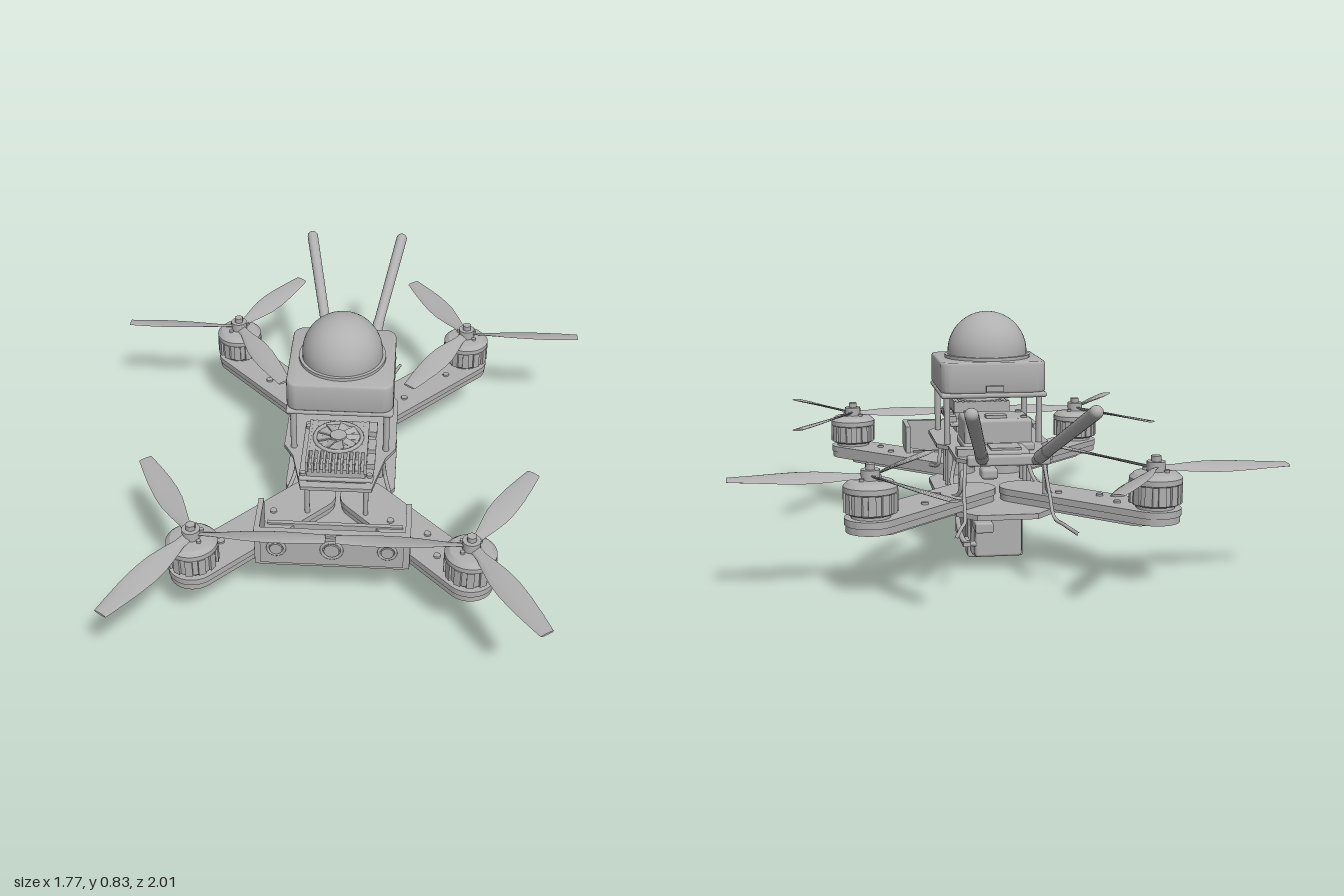
import * as THREE from 'three';
import { toCreasedNormals } from 'three/addons/utils/BufferGeometryUtils.js';
import { RoundedBoxGeometry } from 'three/addons/geometries/RoundedBoxGeometry.js';

const grey = new THREE.MeshStandardMaterial({ color: 0xb0b0b0 });
grey.name = 'plain grey';

function add(parent, name, geo, x = 0, y = 0, z = 0) {
  const m = new THREE.Mesh(geo, grey);
  m.name = name;
  m.position.set(x, y, z);
  parent.add(m);
  return m;
}
// box given by its extents
const box = (p, name, x0, x1, y0, y1, z0, z1) =>
  add(p, name, new THREE.BoxGeometry(x1 - x0, y1 - y0, z1 - z0), (x0 + x1) / 2, (y0 + y1) / 2, (z0 + z1) / 2);
const rounded = (p, name, x0, x1, y0, y1, z0, z1, r = 0.012) =>
  add(p, name, new RoundedBoxGeometry(x1 - x0, y1 - y0, z1 - z0, 3, r), (x0 + x1) / 2, (y0 + y1) / 2, (z0 + z1) / 2);
const rod = (p, name, r, x, y0, y1, z, n = 16) =>
  add(p, name, new THREE.CylinderGeometry(r, r, y1 - y0, n), x, (y0 + y1) / 2, z);
const tube = (p, name, r, pts) =>
  add(p, name, new THREE.TubeGeometry(new THREE.CatmullRomCurve3(pts.map(a => new THREE.Vector3(...a))), 24, r, 8));

// flat shape extruded upwards; shape y becomes -z
function slab(shape, h) {
  const g = new THREE.ExtrudeGeometry(shape, { depth: h, bevelEnabled: false, curveSegments: 16 });
  return toCreasedNormals(g.rotateX(-Math.PI / 2), 0.6);
}
// plate symmetric in x from [x, z] points on the +x side
function plate(p, name, half, y0, y1) {
  const pts = [...half, ...half.map(([x, z]) => [-x, z]).reverse()];
  return add(p, name, slab(new THREE.Shape(pts.map(([x, z]) => new THREE.Vector2(x, -z))), y1 - y0), 0, y0, 0);
}
// rounded-end bar from the origin to x = len
function stadium(len, r, Type = THREE.Shape, x0 = 0) {
  const s = new Type();
  s.absarc(x0, 0, r, Math.PI / 2, Math.PI * 1.5);
  s.absarc(x0 + len, 0, r, -Math.PI / 2, Math.PI / 2);
  s.closePath();
  return s;
}

// twisted propeller blade from elliptical cross-sections
function bladeGeometry(hand) {
  const sections = [[0.015, 0.016], [0.06, 0.018], [0.11, 0.028], [0.17, 0.038], [0.23, 0.041],
    [0.3, 0.038], [0.37, 0.031], [0.434, 0.023]];
  const n = 10, pos = [], idx = [];
  sections.forEach(([s, w], i) => {
    const twist = hand * (0.45 - 0.8 * s);
    for (let k = 0; k < n; k++) {
      const a = (k / n) * Math.PI * 2, y = 0.004 * Math.sin(a), z = w * Math.cos(a);
      pos.push(s, y * Math.cos(twist) - z * Math.sin(twist), y * Math.sin(twist) + z * Math.cos(twist));
      const b = i * n + k, c = i * n + (k + 1) % n;
      if (i < sections.length - 1) idx.push(b, b + n, c, c, b + n, c + n);
      else if (k > 0 && k < n - 1) idx.push(i * n, c, b);
    }
  });
  const g = new THREE.BufferGeometry();
  g.setAttribute('position', new THREE.Float32BufferAttribute(pos, 3));
  g.setIndex(idx);
  return toCreasedNormals(g, 0.9);
}

function motor(hand, firstAngle) {
  const g = new THREE.Group();
  g.name = 'motor';
  rod(g, 'motorBase', 0.062, 0, 0.26, 0.28, 0, 24);
  const bell = [[0, 0.275], [0.074, 0.275], [0.078, 0.28], [0.078, 0.34], [0.085, 0.345], [0.085, 0.362],
    [0.07, 0.376], [0.045, 0.38], [0, 0.38]].map(a => new THREE.Vector2(...a));
  add(g, 'motorBell', toCreasedNormals(new THREE.LatheGeometry(bell, 32), 0.5));
  for (let i = 0; i < 12; i++) {
    const a = i * Math.PI / 6;
    const rib = add(g, 'bellRib', new THREE.BoxGeometry(0.012, 0.062, 0.024), 0.079 * Math.cos(a), 0.312, 0.079 * Math.sin(a));
    rib.rotation.y = -a;
  }
  rod(g, 'propellerHub', 0.03, 0, 0.376, 0.412, 0);
  rod(g, 'propellerNut', 0.017, 0, 0.41, 0.43, 0, 6);
  for (let i = 0; i < 4; i++) {
    const a = Math.PI / 4 + i * Math.PI / 2;
    rod(g, 'hubScrew', 0.008, 0.04 * Math.cos(a), 0.375, 0.388, 0.04 * Math.sin(a), 8);
  }
  const geo = bladeGeometry(hand);
  for (let i = 0; i < 3; i++) add(g, 'propellerBlade', geo, 0, 0.39, 0).rotation.y = firstAngle + i * Math.PI * 2 / 3;
  return g;
}

export function createModel() {
  const root = new THREE.Group();
  root.name = 'quadcopter';

  // arms and motors
  for (const sx of [1, -1]) for (const sz of [1, -1]) {
    const m = motor(sx * sz, (sx * sz > 0) === (sz > 0) ? (sz > 0 ? Math.PI : 0) : (sz > 0 ? 0 : Math.PI));
    if (sz < 0) m.children.filter(c => c.name === 'propellerBlade').forEach((c, i) => {
      c.rotation.y = (sx > 0 ? 0 : Math.PI) + i * Math.PI * 2 / 3;
    });
    m.position.set(sx * 0.45, 0, sz * 0.62);
    root.add(m);
    const arm = new THREE.Group();
    arm.name = 'arm';
    arm.position.set(sx * 0.45, 0, sz * 0.62);
    arm.rotation.y = Math.atan2(sz * 0.72, -sx * 0.69);
    add(arm, 'armTop', slab(stadium(0.52, 0.083), 0.022), 0, 0.241, 0);
    add(arm, 'armBottom', slab(stadium(0.52, 0.079), 0.022), 0, 0.219, 0);
    const strip = stadium(0.4, 0.045, THREE.Shape, 0.06);
    strip.holes.push(stadium(0.34, 0.016, THREE.Path, 0.09));
    add(arm, 'armSlotRail', slab(strip, 0.018), 0, 0.202, 0);
    for (const d of [0.13, 0.23, 0.36]) rod(arm, 'armScrew', 0.012, d, 0.26, 0.27, d === 0.23 ? 0.03 : -0.02, 10);
    root.add(arm);
  }

  // frame plates and spacers
  plate(root, 'bottomPlate', [[0.1, -0.48], [0.16, -0.41], [0.16, -0.19], [0.195, -0.14], [0.195, 0.14],
    [0.16, 0.2], [0.13, 0.42]], 0.202, 0.22);
  plate(root, 'topPlate', [[0.1, -0.48], [0.16, -0.4], [0.16, -0.19], [0.195, -0.14], [0.195, 0.14],
    [0.16, 0.2], [0.12, 0.37]], 0.382, 0.396);
  for (const sx of [1, -1]) {
    for (const z of [-0.38, -0.06, 0.01, 0.08, 0.34]) rod(root, 'spacer', 0.009, sx * (z > 0.3 ? 0.1 : 0.14), 0.215, 0.385, z, 10);
    for (const z of [-0.15, 0.15]) rod(root, 'mastPost', 0.011, sx * 0.16, 0.39, 0.57, z, 12);
    tube(root, 'sideCable', 0.007, [[sx * 0.13, 0.385, 0.1], [sx * 0.15, 0.34, 0.14], [sx * 0.16, 0.27, 0.14], [sx * 0.18, 0.25, 0.22]]);
    tube(root, 'sideCable', 0.007, [[sx * 0.13, 0.385, -0.32], [sx * 0.14, 0.33, -0.4], [sx * 0.15, 0.27, -0.38], [sx * 0.19, 0.25, -0.32]]);
    tube(root, 'motorCable', 0.007, [[sx * 0.12, 0.36, -0.1], [sx * 0.14, 0.28, -0.12], [sx * 0.15, 0.25, -0.2]]);
  }
  rounded(root, 'powerPlug', -0.03, 0.03, 0.25, 0.29, -0.08, -0.01);

  // satellite receiver with dome
  rounded(root, 'receiverBase', -0.183, 0.183, 0.556, 0.575, -0.183, 0.183, 0.009);
  const sq = new THREE.Shape(), h = 0.175, c = 0.035;
  [[h, h], [-h, h], [-h, -h], [h, -h]].forEach(([x, y], i) => sq.absarc(x - Math.sign(x) * c, y - Math.sign(y) * c, c, i * Math.PI / 2, (i + 1) * Math.PI / 2));
  const housing = new THREE.ExtrudeGeometry(sq, { depth: 0.09, bevelSize: 0.007, bevelThickness: 0.008, bevelSegments: 3, curveSegments: 6 });
  add(root, 'receiverHousing', toCreasedNormals(housing.rotateX(-Math.PI / 2), 0.6), 0, 0.581, 0);
  rod(root, 'domeRim', 0.15, 0, 0.675, 0.69, 0, 40);
  rod(root, 'domeSkirt', 0.139, 0, 0.68, 0.7, 0, 40);
  add(root, 'dome', new THREE.SphereGeometry(0.139, 40, 20, 0, Math.PI * 2, 0, Math.PI / 2), 0, 0.7, 0);
  box(root, 'receiverSocket', -0.03, 0.03, 0.58, 0.6, -0.197, -0.17);

  // front computer board with finned cooler and fan
  rounded(root, 'computerBoard', -0.125, 0.125, 0.42, 0.435, 0.05, 0.37, 0.006);
  box(root, 'computerCarrier', -0.1, 0.1, 0.395, 0.42, 0.08, 0.34);
  box(root, 'coolerCore', -0.098, 0.098, 0.433, 0.465, 0.14, 0.36);
  box(root, 'coolerBody', -0.098, 0.098, 0.46, 0.498, 0.13, 0.3);
  for (let i = 0; i < 11; i++) box(root, 'coolerFin', -0.102 + i * 0.0195, -0.093 + i * 0.0195, 0.46, 0.5, 0.13, 0.37);
  add(root, 'fanRing', new THREE.TorusGeometry(0.08, 0.007, 8, 32).rotateX(Math.PI / 2), 0, 0.501, 0.225);
  rod(root, 'fanHub', 0.028, 0, 0.49, 0.512, 0.225, 20);
  for (let i = 0; i < 9; i++) {
    const a = i * Math.PI * 2 / 9;
    const b = add(root, 'fanBlade', new THREE.BoxGeometry(0.045, 0.004, 0.022), 0.05 * Math.cos(a), 0.503, 0.225 - 0.05 * Math.sin(a));
    b.rotation.set(0.4, a, 0, 'YXZ');
  }
  for (const z of [0.09, 0.35]) for (const x of [-0.112, 0.112]) rod(root, 'boardScrew', 0.01, x, 0.43, 0.445, z, 8);
  for (const z of [0.1, 0.2, 0.28]) box(root, 'boardPort', 0.1, 0.128, 0.433, 0.455, z - 0.03, z + 0.03);

  // front sensor tray with three lenses
  box(root, 'trayFloor', -0.24, 0.24, 0.225, 0.24, 0.4, 0.57);
  box(root, 'trayFront', -0.255, 0.255, 0.228, 0.365, 0.545, 0.57);
  box(root, 'trayFace', -0.235, 0.235, 0.24, 0.355, 0.568, 0.578);
  box(root, 'trayBack', -0.23, 0.23, 0.23, 0.27, 0.4, 0.415);
  for (const sx of [1, -1]) box(root, 'traySide', sx * 0.248 - 0.009, sx * 0.248 + 0.009, 0.228, 0.365, 0.4, 0.56);
  for (const x of [-0.182, 0, 0.182]) {
    const r = x ? 0.028 : 0.034;
    add(root, 'lensRing', new THREE.TorusGeometry(r, 0.005, 8, 24), x, 0.305, 0.578);
    add(root, 'lens', new THREE.CylinderGeometry(r * 0.75, r * 0.75, 0.014, 24).rotateX(Math.PI / 2), x, 0.305, 0.577);
  }

  // rear electronics
  rounded(root, 'autopilotCase', -0.115, 0.115, 0.4, 0.5, -0.28, -0.1);
  rounded(root, 'autopilotFoot', -0.12, 0.12, 0.394, 0.42, -0.3, -0.09, 0.008);
  for (const x of [-0.09, 0.09]) for (const z of [-0.25, -0.13]) rod(root, 'caseScrew', 0.011, x, 0.495, 0.507, z, 10);
  box(root, 'caseSocket', -0.03, 0.04, 0.495, 0.51, -0.26, -0.22);
  rounded(root, 'radioModule', -0.075, 0.07, 0.394, 0.425, -0.46, -0.32, 0.006);
  box(root, 'radioShield', -0.05, 0.05, 0.42, 0.432, -0.44, -0.35);
  box(root, 'smallReceiver', 0.078, 0.152, 0.394, 0.42, -0.385, -0.33);

  // antenna bar, sticks and whiskers
  rounded(root, 'antennaBar', -0.135, 0.135, 0.385, 0.42, -0.505, -0.475, 0.008);
  for (const sx of [1, -1]) {
    const start = new THREE.Vector3(sx * 0.085, 0.4, -0.5), tip = new THREE.Vector3(sx * 0.18, 0.625, -0.945);
    const dir = tip.clone().sub(start), len = dir.length();
    const ant = new THREE.Group();
    ant.name = 'antenna';
    ant.position.copy(start);
    ant.quaternion.setFromUnitVectors(new THREE.Vector3(0, 1, 0), dir.normalize());
    rod(ant, 'antennaSocket', 0.014, 0, 0, 0.07, 0, 12);
    rod(ant, 'antennaHinge', 0.021, 0, 0.04, 0.11, 0);
    add(ant, 'antennaStick', new THREE.CylinderGeometry(0.021, 0.019, len - 0.09, 16), 0, (len + 0.09) / 2, 0);
    add(ant, 'antennaTip', new THREE.SphereGeometry(0.021, 16, 10), 0, len, 0);
    root.add(ant);
    tube(root, 'whisker', 0.006, [[sx * 0.13, 0.385, -0.4], [sx * 0.14, 0.28, -0.46], [sx * 0.145, 0.215, -0.52],
      [sx * 0.165, 0.205, -0.58], [sx * 0.193, 0.195, -0.67]]);
  }

  // slung battery with straps and lead
  rounded(root, 'battery', -0.088, 0.088, 0.02, 0.203, -0.25, 0.245, 0.016);
  rounded(root, 'batteryEnd', -0.08, 0.08, 0.025, 0.195, -0.28, -0.23, 0.01);
  for (const z of [0.13, -0.17]) rounded(root, 'batteryStrap', -0.096, 0.096, 0.006, 0.206, z - 0.038, z + 0.038, 0.008);
  rounded(root, 'batteryPlug', 0.03, 0.09, 0.13, 0.165, -0.365, -0.27, 0.006);
  tube(root, 'batteryLead', 0.009, [[0.13, 0.215, -0.2], [0.135, 0.15, -0.24], [0.115, 0.08, -0.27], [0.07, 0.07, -0.27]]);
  box(root, 'leadClip', 0.095, 0.122, 0.065, 0.08, -0.285, -0.2);
  return root;
}
